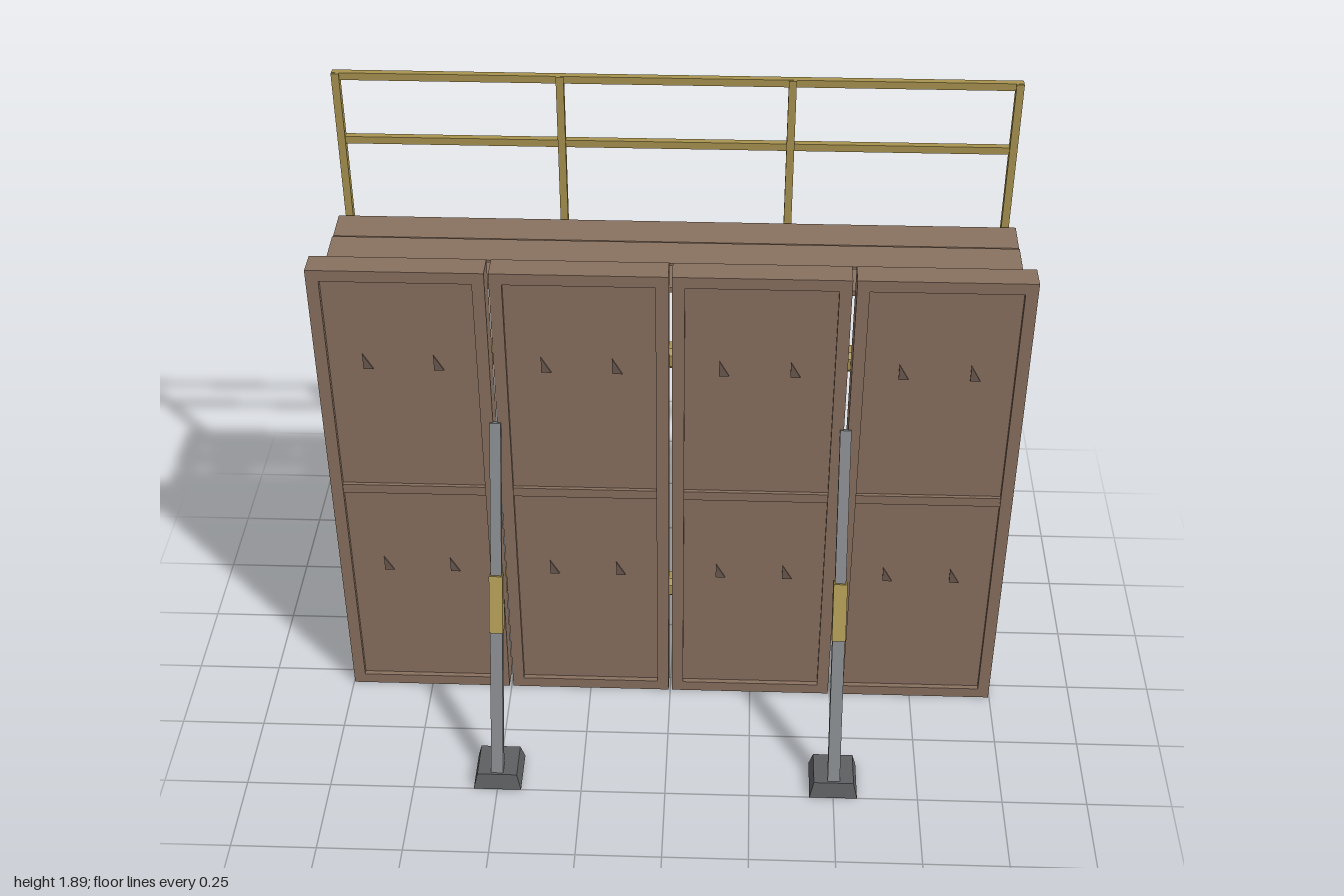
import * as THREE from 'three';

const mat = (name, color) => {
  const m = new THREE.MeshStandardMaterial({ color, flatShading: true });
  m.name = name;
  return m;
};

export function createModel() {
  const root = new THREE.Group();
  root.name = 'formworkWall';
  const brown = mat('weathered brown', 0x88705f);
  const shade = mat('dark brown', 0x6b5a4f);
  const yellow = mat('dull yellow', 0xa8934f);
  const steel = mat('steel grey', 0x808386);
  const dark = mat('dark grey', 0x5e5f61);

  const add = (parent, name, geo, material, x, y, z) => {
    const m = new THREE.Mesh(geo, material);
    m.name = name;
    m.position.set(x, y, z);
    parent.add(m);
    return m;
  };
  const box = (parent, name, material, w, h, d, x, y, z) =>
    add(parent, name, new THREE.BoxGeometry(w, h, d), material, x, y, z);
  const group = (name) => {
    const g = new THREE.Group();
    g.name = name;
    root.add(g);
    return g;
  };

  // Four framed panels with recessed skins and narrow gaps between
  const H = 1.53, W = 0.49, bar = 0.035, D = 0.075, zc = 0.0175;
  const mark = new THREE.Shape([
    new THREE.Vector2(-0.013, 0.03), new THREE.Vector2(-0.013, -0.02), new THREE.Vector2(0.015, -0.02),
  ]);
  for (const cx of [-0.752, -0.25, 0.25, 0.752]) {
    const p = group('wallPanel');
    for (const s of [-1, 1]) box(p, 'panelStile', brown, bar, H, D, cx + s * (W - bar) / 2, H / 2, zc);
    for (const y of [bar / 2, H - bar / 2]) box(p, 'panelRail', brown, W - 2 * bar, bar, D, cx, y, zc);
    box(p, 'middleRail', brown, W - 2 * bar, 0.03, D - 0.008, cx, 0.775, zc);
    box(p, 'panelSkin', brown, W - 2 * bar, H - 2 * bar, 0.03, cx, H / 2, 0.025);
    for (const dx of [-0.1, 0.1]) for (const y of [1.22, 0.48]) {
      add(p, 'tieMark', new THREE.ExtrudeGeometry(mark, { depth: 0.005, bevelEnabled: false }), shade, cx + dx, y, 0.04);
    }
  }

  // Horizontal walers with chamfered edges and clamp plates
  const a = 0.033, c = 0.018;
  const section = new THREE.Shape(
    [[a, -c], [a, c], [c, a], [-c, a], [-a, c], [-a, -c], [-c, -a], [c, -a]].map(([x, y]) => new THREE.Vector2(x, y)));
  for (const y of [1.2, 0.345]) {
    const g = group('waler');
    const geo = new THREE.ExtrudeGeometry(section, { depth: 1.95, bevelEnabled: false });
    geo.translate(0, 0, -0.975).rotateY(Math.PI / 2);
    add(g, 'walerBeam', geo, yellow, 0, y, -0.057);
    for (const x of [-0.75, -0.25, 0.25, 0.75]) box(g, 'clampPlate', dark, 0.065, 0.095, 0.012, x, y, -0.092);
  }

  // Adjustable braces, each with a hollow tapered foot
  const footProfile = [[0, 0.05], [0.083, 0.05], [0.1, 0], [0.072, 0], [0.064, 0.025], [0, 0.025]]
    .map(([r, y]) => new THREE.Vector2(r, y)).reverse();
  const brace = (x, top, foot, turn, sz) => {
    const g = group('brace');
    const A = new THREE.Vector3(x, foot[0], foot[1]);
    const B = new THREE.Vector3(x, top[0], top[1]);
    const at = (y) => A.clone().lerp(B, (y - A.y) / (B.y - A.y));
    const seg = (name, m, P, Q, w, d) => {
      const dir = Q.clone().sub(P);
      const mid = P.clone().add(Q).multiplyScalar(0.5);
      box(g, name, m, w, dir.length(), d, mid.x, mid.y, mid.z)
        .quaternion.setFromUnitVectors(new THREE.Vector3(0, 1, 0), dir.normalize());
    };
    const mid = (turn[0] + turn[1]) / 2;
    seg('lowerTube', steel, A, at(mid), 0.036, 0.03);
    seg('upperTube', steel, at(mid), B, 0.032, 0.022);
    seg('turnbuckle', yellow, at(turn[0]), at(turn[1]), 0.04, 0.042);
    const geo = new THREE.LatheGeometry(footProfile, 4).toNonIndexed();
    geo.rotateY(Math.PI / 4);
    geo.computeVertexNormals();
    add(g, 'brace foot', geo, dark, x, 0, sz * 0.43);
  };
  for (const s of [-1, 1]) {
    brace(s * 0.5, [1.03, 0.055], [0.04, 0.47], [0.45, 0.61], 1);
    brace(s * 0.728, [1.18, -0.11], [0.04, -0.465], [0.54, 0.76], -1);
  }

  // Work platform: brackets, planks and guard rail
  const deck = group('platform');
  for (const x of [-0.955, -0.325, 0.325, 0.955]) {
    box(deck, 'bracket', steel, 0.03, 0.028, 0.4, x, 1.395, -0.228);
    box(deck, 'railPost', yellow, 0.022, 0.5, 0.024, x, 1.64, -0.415);
  }
  for (const z of [-0.345, -0.227, -0.103]) {
    box(deck, 'plank', brown, 1.97, 0.018, 0.104, 0, 1.425, z).rotation.x = 0.06;
  }
  for (const y of [1.88, 1.68]) box(deck, 'guardRail', yellow, 1.93, 0.022, 0.02, 0, y, -0.418);

  return root;
}
